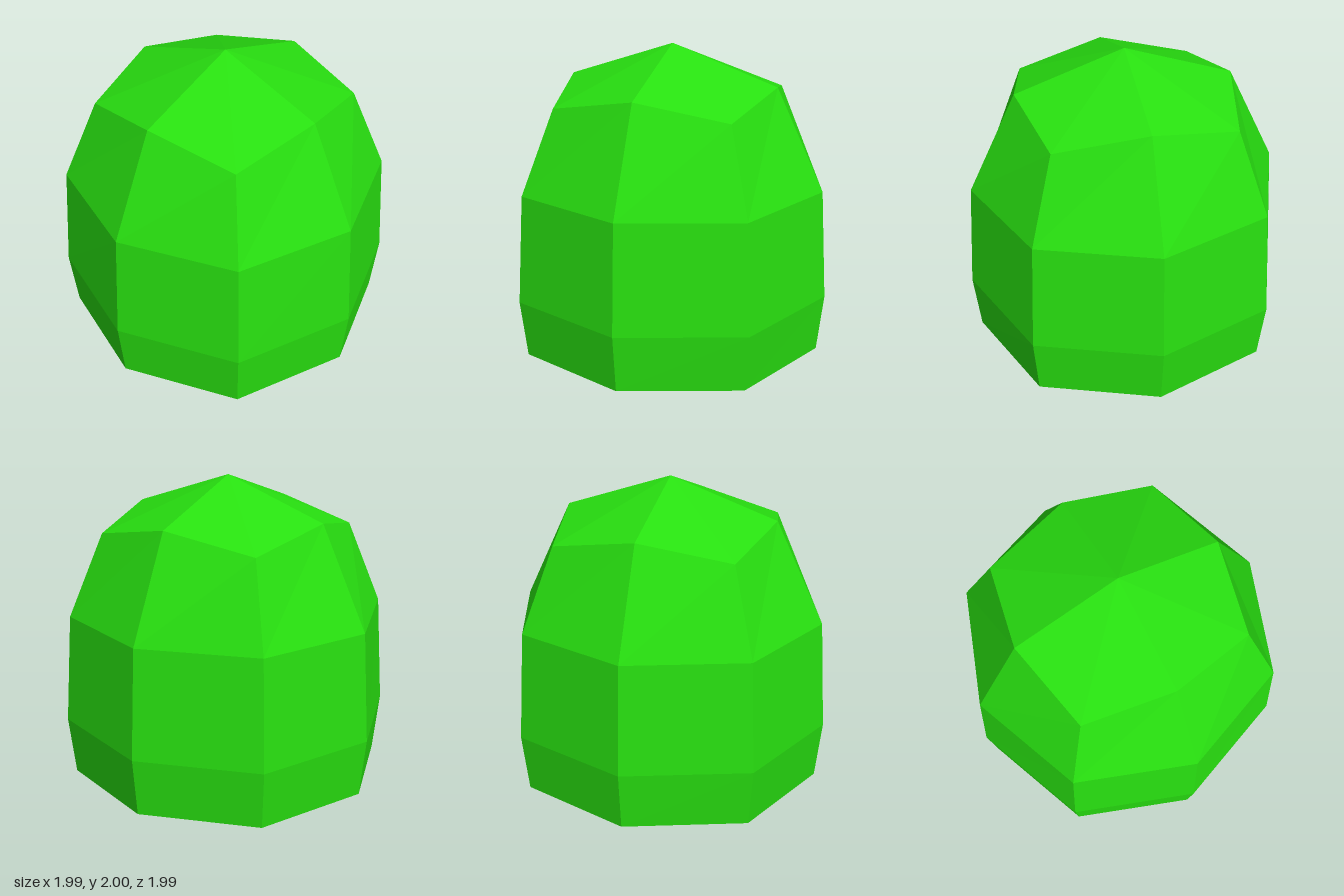
import * as THREE from 'three';

// Eight-sided rings, bottom to top: reach and height at the
// straight (mid) points and at the diagonal (corner) points.
const RINGS = [
  { mid: [0.66, 0.03], corner: [0.545, 0.045] },
  { mid: [0.955, 0.135], corner: [0.695, 0.135] },
  { mid: [0.995, 0.49], corner: [0.725, 0.49] },
  { mid: [0.955, 1.16], corner: [0.695, 1.16] },
  { mid: [0.66, 1.775], corner: [0.545, 1.67] },
];
const BOTTOM = [0, 0, 0];
const TOP = [0, 2, 0];

// Point k of a ring; even points are mids, odd points are corners
function ringPoint(ring, k) {
  const [reach, y] = k % 2 ? ring.corner : ring.mid;
  const r = k % 2 ? reach * Math.SQRT2 : reach;
  const a = (k * Math.PI) / 4;
  return [r * Math.sin(a), y, r * Math.cos(a)];
}

function bodyGeometry() {
  const positions = [];
  const tri = (a, b, c) => positions.push(...a, ...b, ...c);
  const first = RINGS[0];
  const last = RINGS[RINGS.length - 1];
  for (let k = 0; k < 8; k++) {
    const n = (k + 1) % 8;
    // side bands
    for (let i = 0; i < RINGS.length - 1; i++) {
      const a = ringPoint(RINGS[i], k);
      const b = ringPoint(RINGS[i], n);
      const c = ringPoint(RINGS[i + 1], n);
      const d = ringPoint(RINGS[i + 1], k);
      tri(a, b, c);
      tri(a, c, d);
    }
    // top and bottom caps
    tri(ringPoint(last, k), ringPoint(last, n), TOP);
    tri(ringPoint(first, n), ringPoint(first, k), BOTTOM);
  }
  const geometry = new THREE.BufferGeometry();
  geometry.setAttribute('position', new THREE.Float32BufferAttribute(positions, 3));
  geometry.computeVertexNormals();
  return geometry;
}

export function createModel() {
  const group = new THREE.Group();
  group.name = 'facetedBush';
  const material = new THREE.MeshStandardMaterial({ color: 0x28e010, flatShading: true });
  const foliage = new THREE.Mesh(bodyGeometry(), material);
  foliage.name = 'foliage';
  group.add(foliage);
  return group;
}
